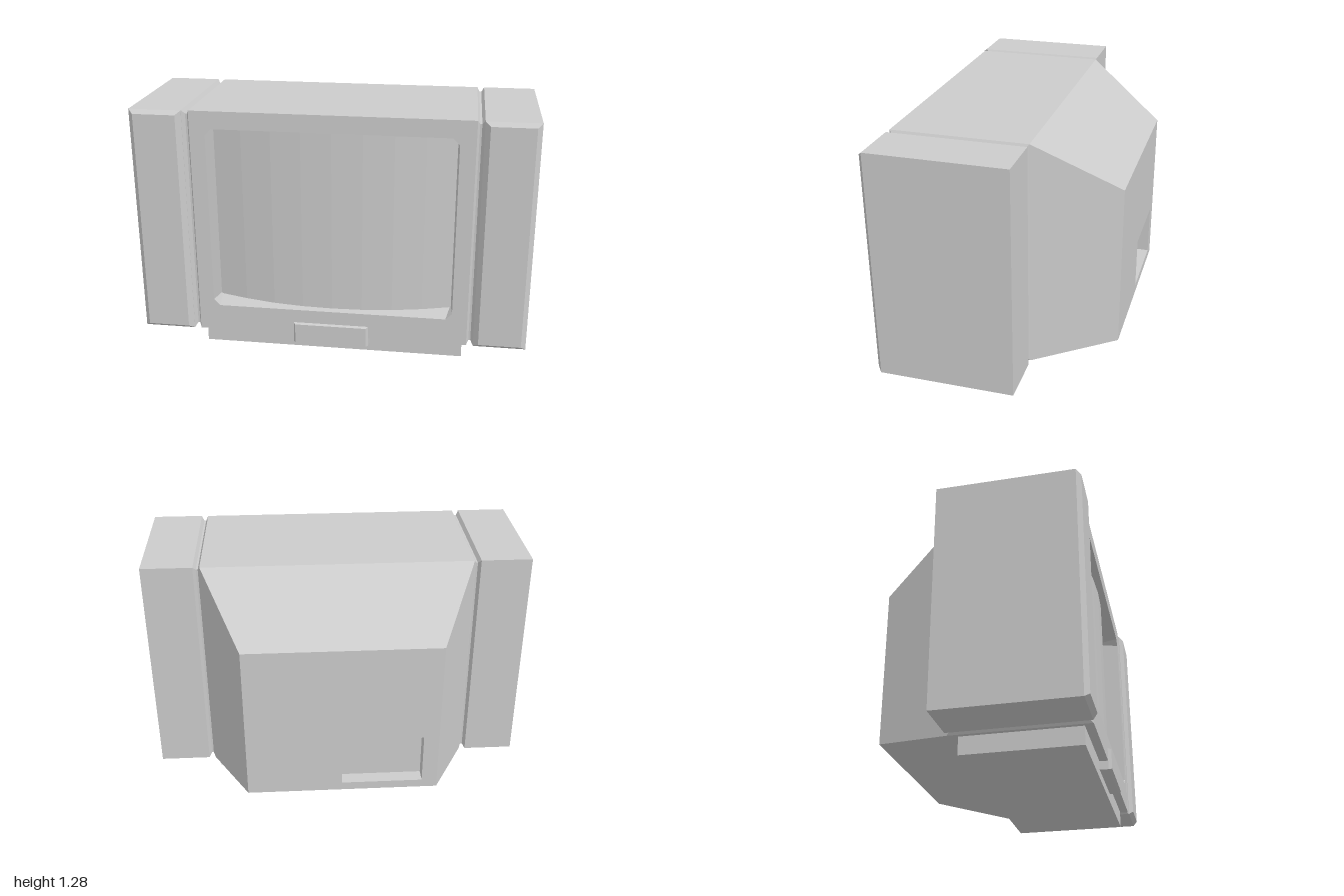
import * as THREE from 'three';

const grey = new THREE.MeshStandardMaterial({ color: 0xcccccc, flatShading: true });

// Skin a list of rings with flat quads; caps are fans over the first / last ring.
function loft(rings, capStart = false, capEnd = false) {
  const pos = [];
  const tri = (...pts) => pts.forEach((p) => pos.push(...p));
  const n = rings[0].length;
  for (let r = 0; r < rings.length - 1; r++) {
    for (let i = 0; i < n; i++) {
      const j = (i + 1) % n;
      const [a, b, c, d] = [rings[r][i], rings[r][j], rings[r + 1][j], rings[r + 1][i]];
      tri(a, b, c, a, c, d);
    }
  }
  const first = rings[0], last = rings[rings.length - 1];
  for (let i = 1; i < n - 1; i++) {
    if (capStart) tri(first[0], first[i + 1], first[i]);
    if (capEnd) tri(last[0], last[i], last[i + 1]);
  }
  const geo = new THREE.BufferGeometry();
  geo.setAttribute('position', new THREE.Float32BufferAttribute(pos, 3));
  geo.computeVertexNormals();
  return geo;
}

// Rectangle facing z, and rectangle facing x
const rectZ = (x0, x1, y0, y1, z) => [[x0, y0, z], [x1, y0, z], [x1, y1, z], [x0, y1, z]];
const rectX = (y0, y1, z0, z1, x) => [[x, y0, z0], [x, y1, z0], [x, y1, z1], [x, y0, z1]];

// Rectangle with cut corners, for the screen opening
function cutRect(w, y0, y1, c, z) {
  return [[-w + c, y0, z], [w - c, y0, z], [w, y0 + c, z], [w, y1 - c, z],
    [w - c, y1, z], [-w + c, y1, z], [-w, y1 - c, z], [-w, y0 + c, z]];
}

// Flat panel with a hole
function panel(outer, hole) {
  const toV2 = (p) => new THREE.Vector2(p[0], p[1]);
  const shape = new THREE.Shape(outer.map(toV2));
  shape.holes.push(new THREE.Path(hole.map(toV2)));
  return new THREE.ShapeGeometry(shape);
}

export function createModel() {
  const model = new THREE.Group();
  const add = (name, geo, x = 0, y = 0, z = 0) => {
    const mesh = new THREE.Mesh(geo, grey);
    mesh.name = name;
    mesh.position.set(x, y, z);
    model.add(mesh);
    return mesh;
  };
  const bottom = 0.093, top = 1.283, front = 0.539, mid = -0.152, back = -0.565;

  // Cabinet shell, tapering towards the back
  const backRing = rectZ(-0.5, 0.5, 0.162, 1.014, back);
  const frontRing = rectZ(-0.7, 0.7, bottom, top, front);
  add('cabinetShell', loft([backRing, rectZ(-0.7, 0.7, bottom, top, mid), frontRing]));

  // Front frame and the walls of the screen opening
  const opening = cutRect(0.622, 0.233, 1.193, 0.033, front);
  add('screenFrame', panel(frontRing, opening), 0, 0, front);
  add('screenSurround', loft([opening, cutRect(0.613, 0.243, 1.182, 0.004, 0.412)]));

  // Screen, bulging forward across its width
  const glass = new THREE.PlaneGeometry(1.24, 0.955, 8, 1);
  const p = glass.attributes.position;
  for (let i = 0; i < p.count; i++) p.setZ(i, -0.09 * (p.getX(i) / 0.62) ** 2);
  glass.computeVertexNormals();
  add('screen', glass, 0, 0.7145, 0.505);

  // Back panel with its socket recess
  const socket = rectZ(-0.42, 0.005, 0.207, 0.483, back);
  const mirrorX = (ring) => ring.map(([x, y, z]) => [-x, y, z]);
  add('backPanel', panel(mirrorX(backRing), mirrorX(socket)), 0, 0, back).rotation.y = Math.PI;
  add('socketRecess', loft([rectZ(-0.42, 0.005, 0.207, 0.483, back + 0.072), socket], true));

  // Speakers and the grooved joints to the cabinet
  for (const s of [1, -1]) {
    const side = s > 0 ? 'left' : 'right';
    const box = (inset, z) => {
      const xs = [s * (0.735 + inset), s * (1 - inset)].sort((a, b) => a - b);
      return rectZ(xs[0], xs[1], bottom + inset * 0.8, top - inset * 0.8, z);
    };
    add(side + 'Speaker', loft([box(0, mid), box(0, 0.542), box(0.025, 0.565)], true, true));

    const joint = [[0.7, 0], [0.711, 0.02], [0.721, 0.02], [0.735, 0]].map(([x, d]) =>
      rectX(bottom + d, top - d, mid + d, front - d, s * x));
    add(side + 'SpeakerJoint', loft(s > 0 ? joint : joint.reverse()));
  }

  // Foot and the control panel overlapping its front
  add('foot', new THREE.BoxGeometry(1.355, bottom, 0.598), 0, bottom / 2, 0.196);
  add('controlPanel', loft([
    rectZ(-0.203, 0.198, 0.047, 0.162, 0.495),
    rectZ(-0.198, 0.193, 0.048, 0.161, front),
    rectZ(-0.188, 0.183, 0.053, 0.157, 0.556),
  ], true, true));

  return model;
}
